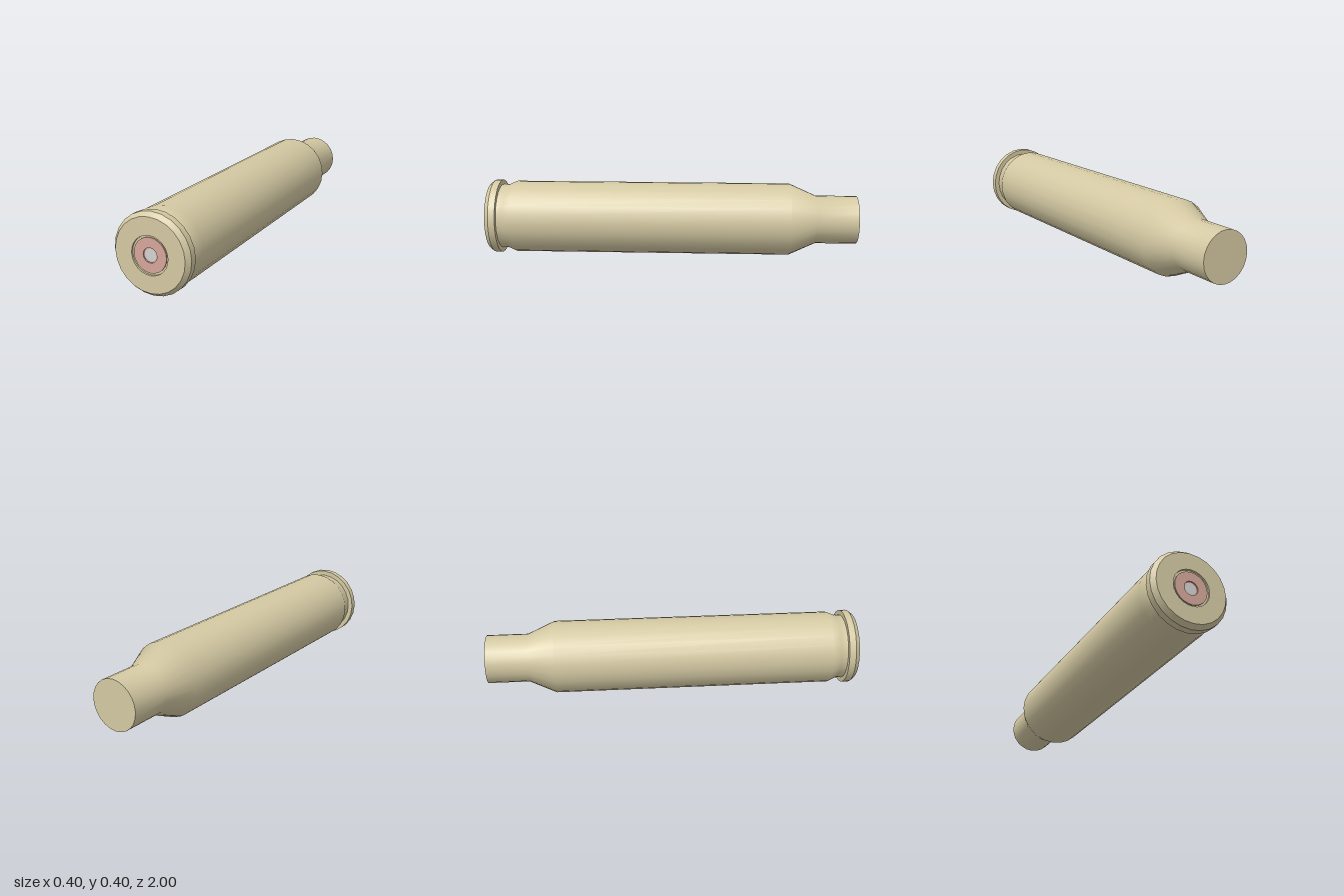
import * as THREE from 'three';

const SIDES = 24;

export function createModel() {
  const model = new THREE.Group();
  const material = (name, color) => {
    const m = new THREE.MeshStandardMaterial({ color });
    m.name = name;
    return m;
  };
  const brass = material('brass', 0xd4c9a3);
  const copper = material('copper', 0xd4a699);
  const steel = material('steel', 0xd2d2d2);

  // Surface of revolution about z; points are [radius, z], smooth within one strip
  const turn = (name, mat, points) => {
    const geometry = new THREE.LatheGeometry(points.map(([r, z]) => new THREE.Vector2(r, z)), SIDES);
    geometry.rotateX(Math.PI / 2);
    const mesh = new THREE.Mesh(geometry, mat);
    mesh.name = name;
    mesh.position.y = 0.202;
    model.add(mesh);
  };
  // Sharp edges: every profile segment becomes its own strip
  const turnSharp = (name, mat, points) => {
    for (let i = 1; i < points.length; i++) turn(name, mat, [points[i - 1], points[i]]);
  };

  // Closed mouth and the smooth body with neck, shoulder and extractor taper
  turn('mouth', brass, [[0, -1], [0.13, -1]]);
  turn('caseBody', brass, [
    [0.13, -1], [0.13, -0.78], [0.195, -0.635], [0.195, 0.86], [0.175, 0.905], [0.175, 0.94],
  ]);

  // Rim, bevel, base face and the recess around the primer
  turnSharp('rim', brass, [
    [0.175, 0.94], [0.201, 0.94], [0.201, 0.976], [0.182, 1], [0.095, 1], [0.095, 0.99], [0.085, 0.99],
  ]);

  // Primer cup with a stepped dent
  turnSharp('primer', copper, [
    [0.085, 0.99], [0.085, 0.996], [0.036, 0.996], [0.036, 0.99], [0.03, 0.99],
  ]);
  turn('primerCentre', steel, [[0.03, 0.99], [0, 0.99]]);

  return model;
}
